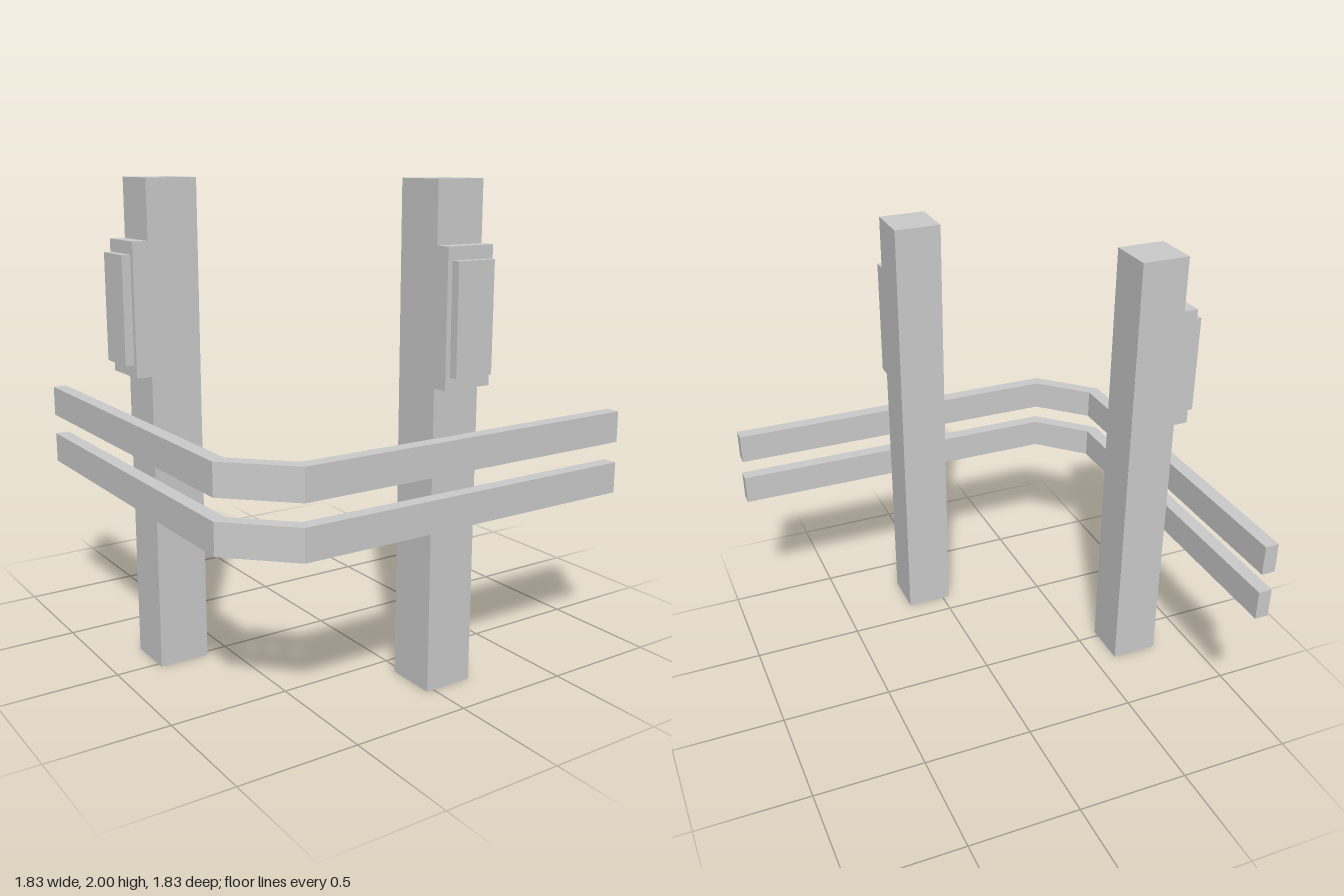
import * as THREE from 'three';

const material = new THREE.MeshStandardMaterial({ color: 0xcccccc });

function extrude(name, points, depth) {
  const shape = new THREE.Shape(points.map(([x, y]) => new THREE.Vector2(x, y)));
  const geometry = new THREE.ExtrudeGeometry(shape, { depth, bevelEnabled: false });
  const mesh = new THREE.Mesh(geometry, material);
  mesh.name = name;
  return mesh;
}

// Post with a raised block near the top and a thin plate on the block, facing +z
function createPost(name) {
  const width = 0.212;
  const group = new THREE.Group();
  group.name = name;

  // Side profile as [outward, up], swept across the post's width
  const post = extrude('post', [
    [0.602, 0], [0.816, 0], [0.816, 1.232], [0.88, 1.232],
    [0.88, 1.762], [0.816, 1.762], [0.816, 2], [0.602, 2],
  ], width);
  post.rotation.y = -Math.PI / 2;
  post.position.x = width / 2;

  const plate = new THREE.Mesh(new THREE.BoxGeometry(0.17, 0.43, 0.037), material);
  plate.name = 'plate';
  plate.position.set(0, 1.496, 0.8975);

  group.add(post, plate);
  return group;
}

// Flat rail running along two sides, with a chamfered corner between them
function createRail(name, bottom) {
  const rail = extrude(name, [
    [0.913, 0.875], [-0.643, 0.875], [-0.878, 0.64], [-0.878, -0.915],
    [-0.817, -0.915], [-0.817, 0.615], [-0.618, 0.814], [0.913, 0.814],
  ], 0.132);
  rail.rotation.x = Math.PI / 2;
  rail.position.y = bottom + 0.132;
  return rail;
}

export function createModel() {
  const model = new THREE.Group();
  model.name = 'cornerFence';

  const frontPost = createPost('frontPost');
  frontPost.position.x = 0.074;

  const sidePost = createPost('sidePost');
  sidePost.rotation.y = -Math.PI / 2;
  sidePost.position.z = -0.074;

  model.add(frontPost, sidePost, createRail('lowerRail', 0.684), createRail('upperRail', 0.905));
  return model;
}
